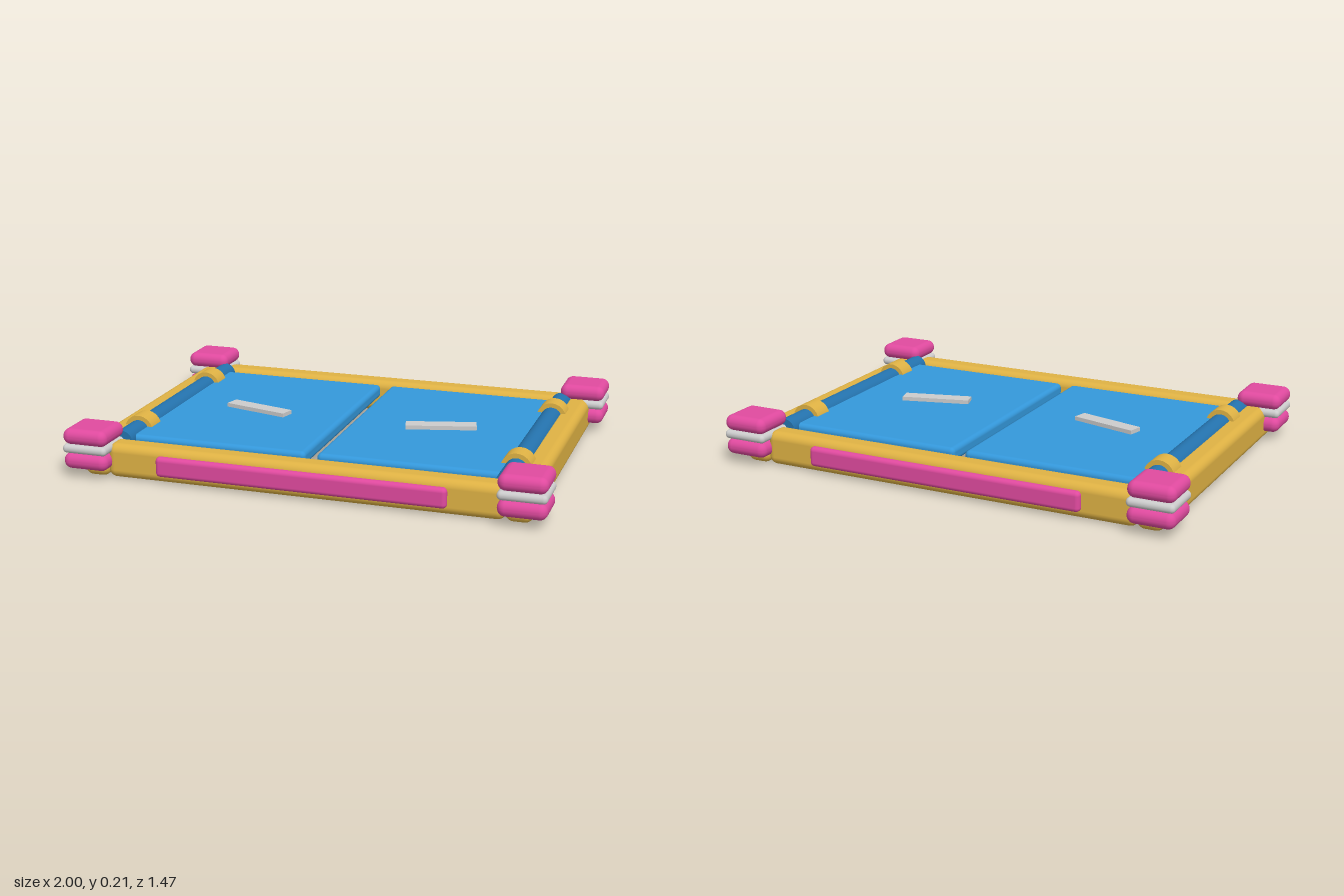
import * as THREE from 'three';
import { RoundedBoxGeometry } from 'three/addons/geometries/RoundedBoxGeometry.js';

const paint = (color) => new THREE.MeshStandardMaterial({ color });

export function createModel() {
  const model = new THREE.Group();
  const gold = paint(0xdfb244);
  const pink = paint(0xe04a9f);
  const white = paint(0xe4e4e4);
  const blue = paint(0x3498db);
  const darkBlue = paint(0x2473ae);

  const add = (name, geometry, material, x, y, z) => {
    const mesh = new THREE.Mesh(geometry, material);
    mesh.name = name;
    mesh.position.set(x, y, z);
    model.add(mesh);
    return mesh;
  };
  const soft = (w, h, d, r) => new RoundedBoxGeometry(w, h, d, 4, r);
  // Cylinder lying along z
  const rod = (r, length) => new THREE.CylinderGeometry(r, r, length, 32).rotateX(Math.PI / 2);

  // Front and back rails with their trim strips
  for (const s of [1, -1]) {
    const end = s > 0 ? 'front' : 'back';
    add(end + 'Rail', soft(1.66, 0.144, 0.112, 0.035), gold, 0, 0.072, s * 0.618);
    add(end + 'Trim', soft(1.21, 0.084, 0.06, 0.018), pink, 0, 0.074, s * 0.667);
  }

  // Each side: rail, hinge rod with two collars, door panel and handle
  for (const s of [1, -1]) {
    const side = s > 0 ? 'left' : 'right';
    add(side + 'Rail', soft(0.112, 0.144, 1.355, 0.035), gold, s * 0.88, 0.072, 0);
    add(side + 'HingeRod', rod(0.045, 1.12), darkBlue, s * 0.812, 0.123, 0);
    for (const z of [0.36, -0.36]) {
      add(side + 'HingeCollar', rod(0.064, 0.086), gold, s * 0.812, 0.123, z);
    }
    add(side + 'Door', soft(0.772, 0.06, 1.05, 0.02), blue, s * 0.41, 0.113, 0);
    const handle = add(side + 'Handle', new THREE.BoxGeometry(0.298, 0.02, 0.064), white, s * 0.41, 0.15, 0.033);
    handle.rotation.y = s * 0.26;
  }

  // Corner stacks: two cushions with a pale pad between
  for (const x of [0.9025, -0.9025]) {
    for (const z of [0.6375, -0.6375]) {
      add('cornerCushionLower', soft(0.195, 0.067, 0.195, 0.032), pink, x, 0.072, z);
      add('cornerPad', soft(0.195, 0.037, 0.195, 0.018), white, x, 0.125, z);
      add('cornerCushionUpper', soft(0.195, 0.067, 0.195, 0.032), pink, x, 0.175, z);
    }
  }
  return model;
}
